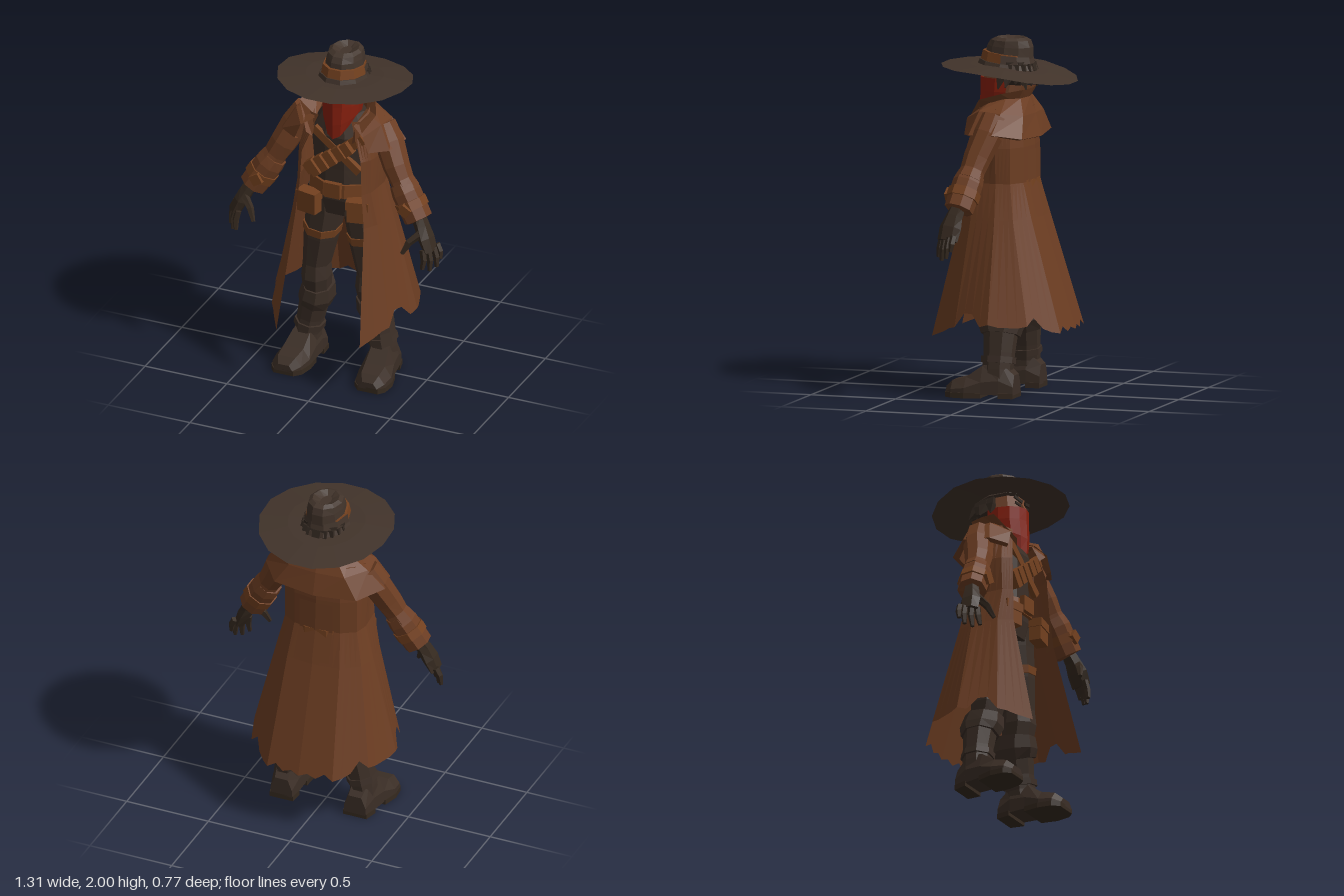
import * as THREE from 'three';

const paint = (name, color) => new THREE.MeshStandardMaterial({ name, color, side: THREE.DoubleSide });

export function createModel() {
  const model = new THREE.Group();
  model.name = 'wanderer';
  const coatBrown = paint('coatBrown', 0x6c3d22);
  const leather = paint('leather', 0x74411f);
  const cloth = paint('darkCloth', 0x3b2e26);
  const hatFelt = paint('hatFelt', 0x41332a);
  const glove = paint('gloveDark', 0x35291f);
  const red = paint('red', 0x861f0e);
  const skin = paint('skin', 0x7a4a30);
  const hair = paint('hair', 0x30261f);

  function add(parent, name, geo, mat) {
    const g = geo.index ? geo.toNonIndexed() : geo;
    g.computeVertexNormals();
    const mesh = new THREE.Mesh(g, mat);
    mesh.name = name;
    parent.add(mesh);
    return mesh;
  }
  // Skin between rings of points; closed rings can be capped with fans
  function loft(rings, closed = true, caps = closed) {
    const n = rings[0].length, pos = rings.flat(2), idx = [];
    for (let r = 0; r < rings.length - 1; r++)
      for (let i = 0; i < (closed ? n : n - 1); i++) {
        const a = r * n + i, b = r * n + (i + 1) % n;
        idx.push(a, a + n, b, b, a + n, b + n);
      }
    if (caps) for (let i = 1; i < n - 1; i++) {
      const e = (rings.length - 1) * n;
      idx.push(0, i, i + 1, e, e + i + 1, e + i);
    }
    const g = new THREE.BufferGeometry();
    g.setAttribute('position', new THREE.Float32BufferAttribute(pos, 3));
    g.setIndex(idx);
    return g;
  }
  // Limb along [x, y, z, radius across, radius deep]
  function limb(path, n = 8) {
    const p = path.map(q => new THREE.Vector3(q[0], q[1], q[2]));
    return loft(path.map((q, k) => {
      const t = p[Math.min(k + 1, p.length - 1)].clone().sub(p[Math.max(k - 1, 0)]).normalize();
      const u = new THREE.Vector3().crossVectors(t, new THREE.Vector3(0, 0, 1)).normalize();
      const v = new THREE.Vector3().crossVectors(u, t);
      return Array.from({ length: n }, (_, i) => {
        const a = (i + 0.5) / n * Math.PI * 2;
        return p[k].clone().addScaledVector(u, Math.cos(a) * q[3]).addScaledVector(v, Math.sin(a) * (q[4] ?? q[3])).toArray();
      });
    }));
  }
  // Level ellipse ring, tilted by slope along z
  const oval = (y, rx, rz, cz = 0, slope = 0, n = 10) => Array.from({ length: n }, (_, i) => {
    const a = (i + 0.5) / n * Math.PI * 2, z = cz + Math.cos(a) * rz;
    return [Math.sin(a) * rx, y + z * slope, z];
  });
  // Full row from its left half, which runs front to back centre
  const sym = half => [...half, ...half.slice(0, -1).reverse().map(([x, y, z]) => [-x, y, z])];
  const box = (parent, name, size, at, mat, rz = 0, ry = 0) => {
    const m = add(parent, name, new THREE.BoxGeometry(...size), mat);
    m.position.set(...at);
    m.rotation.set(0, ry, rz);
    return m;
  };

  // Long coat, open in front, with a torn hem
  const row = (y, ...p) => p.map(([x, z, yy]) => [x, yy ?? y, z]);
  const fine = half => half.flatMap((p, i) => i === half.length - 1 ? [p] :
    [0, 0.25, 0.5, 0.75].map(t => p.map((c, k) => c + (half[i + 1][k] - c) * t)));
  const coatRows = [
    row(1.62, [0.1, 0.14], [0.17, 0.12], [0.24, 0], [0.2, -0.07], [0.12, -0.12], [0, -0.14]),
    row(1.4, [0.18, 0.19], [0.22, 0.14], [0.25, 0], [0.22, -0.08], [0.14, -0.13], [0, -0.15]),
    row(1.2, [0.19, 0.2], [0.225, 0.15], [0.24, 0], [0.22, -0.08], [0.14, -0.13], [0, -0.15]),
    row(1, [0.21, 0.215], [0.26, 0.14], [0.29, -0.01], [0.26, -0.11], [0.16, -0.185], [0, -0.2]),
    row(0.38, [0.255, 0.37, 0.33], [0.36, 0.2, 0.4], [0.435, -0.02, 0.42], [0.36, -0.23, 0.41], [0.2, -0.37, 0.37], [0, -0.39, 0.37]),
  ].map(fine);
  const tears = [0, 0, 0, 0.01, 0, 0.13, 0.12, 0, 0.02, 0, 0, 0, 0.02, 0.11, 0.02, 0, 0, 0.05, 0, 0.03, 0];
  coatRows[4] = coatRows[4].map((p, i) => p.map((c, k) => c + (coatRows[3][i][k] - c) * tears[i]));
  add(model, 'longCoat', loft(coatRows.map(sym), false), coatBrown);
  add(model, 'coatBackPanel', loft([[1.38, -0.156], [1.2, -0.158], [1.02, -0.204]].map(([y, z]) =>
    [[-0.1, y, z + 0.01], [0, y, z], [0.1, y, z + 0.01]]), false), coatBrown);

  // Shoulder cape and flared collar
  add(model, 'shoulderCape', loft([
    [[0.12, 1.6, 0.15], [0.16, 1.65, 0.06], [0.15, 1.67, -0.03], [0.1, 1.67, -0.1], [0, 1.67, -0.12]],
    [[0.19, 1.56, 0.185], [0.26, 1.61, 0.09], [0.27, 1.6, -0.04], [0.17, 1.58, -0.14], [0, 1.58, -0.155]],
    [[0.225, 1.47, 0.19], [0.33, 1.48, 0.13], [0.365, 1.49, -0.02], [0.25, 1.46, -0.16], [0, 1.45, -0.19]],
    [[0.21, 1.46, 0.17], [0.3, 1.47, 0.11], [0.33, 1.48, -0.02], [0.23, 1.45, -0.13], [0, 1.44, -0.16]],
  ].map(sym), false), coatBrown);
  add(model, 'collar', loft([
    [[0.12, 1.5, 0.18], [0.12, 1.6, 0.13], [0.13, 1.64, 0], [0.1, 1.64, -0.08], [0, 1.64, -0.1]],
    [[0.15, 1.53, 0.2], [0.235, 1.67, 0.1], [0.18, 1.7, -0.01], [0.12, 1.72, -0.12], [0, 1.72, -0.14]],
  ].map(sym), false), coatBrown);

  // Torso, belt and crossed straps
  add(model, 'torso', loft([oval(1, 0.17, 0.13), oval(1.1, 0.2, 0.15), oval(1.3, 0.18, 0.14, 0.01),
    oval(1.5, 0.2, 0.145, 0.01), oval(1.63, 0.12, 0.1, 0.01)]), cloth);
  add(model, 'belt', loft([oval(1.13, 0.215, 0.17), oval(1.21, 0.21, 0.165)]), leather);
  box(model, 'buckle', [0.1, 0.09, 0.03], [0, 1.18, 0.172], leather);
  box(model, 'bandolier', [0.44, 0.065, 0.03], [0, 1.395, 0.14], leather, 0.66);
  for (const [i, d] of [-0.15, -0.085, -0.02, 0.05, 0.11].entries())
    box(model, 'bandolierPouch', [0.05, 0.1 - i * 0.006, 0.05],
      [d * Math.cos(0.66), 1.39 + d * Math.sin(0.66), 0.165], leather, 0.66);
  box(model, 'crossStrap', [0.36, 0.045, 0.03], [0.01, 1.42, 0.137], leather, -0.68);

  // Head, eyes, bandana and hair
  add(model, 'head', loft([oval(1.58, 0.07, 0.07, 0.01), oval(1.68, 0.085, 0.09, 0.04),
    oval(1.76, 0.105, 0.115, 0.03), oval(1.87, 0.105, 0.115, 0.025)]), skin);
  add(model, 'nose', limb([[0, 1.82, 0.13, 0.012], [0, 1.77, 0.15, 0.022]], 4), skin);
  const arc = (y, rx, rz, cz, drop = 0) => Array.from({ length: 9 }, (_, i) => {
    const a = (i / 8 - 0.5) * Math.PI * 1.15;
    return [Math.sin(a) * rx, y - drop * Math.max(0, Math.cos(a)) ** 2, cz + Math.cos(a) * rz];
  });
  add(model, 'bandana', loft([arc(1.775, 0.112, 0.155, 0.015), arc(1.7, 0.115, 0.15, 0.02),
    arc(1.63, 0.105, 0.145, 0.03, 0.04), arc(1.61, 0.09, 0.13, 0.04, 0.11)], false), red);
  for (const s of [1, -1]) {
    box(model, 'eye', [0.042, 0.014, 0.008], [s * 0.045, 1.797, 0.141], hair, s * 0.2, s * 0.2);
    box(model, 'eyebrow', [0.065, 0.018, 0.009], [s * 0.045, 1.825, 0.143], hair, s * 0.25, s * 0.2);
  }
  add(model, 'hairCap', loft([oval(1.74, 0.095, 0.09, -0.04), oval(1.79, 0.122, 0.105, -0.035),
    oval(1.87, 0.122, 0.11, -0.025)]), hair);
  for (let i = 0; i < 11; i++) {
    const a = Math.PI * (0.42 + i * 0.116), r = i % 2 ? 1.5 : 1.28;
    const x = Math.sin(a), z = Math.cos(a);
    add(model, 'hairLock', limb([[x * 0.1, 1.85, z * 0.1 - 0.02, 0.035], [x * 0.12, 1.79, z * 0.12 - 0.02, 0.032],
      [x * 0.115 * r, 1.72 + (i % 3) * 0.015, z * 0.11 * r - 0.015, 0.003]], 4), hair);
  }

  // Wide hat
  const brim = (r, y) => oval(y, r, r, 0, 0, 16).map(([x, h, z]) => [x, h + z * (z > 0 ? 0.03 : 0.2), z]);
  add(model, 'hatBrim', loft([brim(0.1, 1.845), brim(0.22, 1.846), brim(0.385, 1.833)], false ,false), hatFelt);
  add(model, 'hatBrimSeam', loft([brim(0.1, 1.845), brim(0.22, 1.846), brim(0.385, 1.833)].map(r => [r[15], r[0]]), false), hatFelt);
  add(model, 'hatBase', loft([oval(1.835, 0.145, 0.17, 0.01, 0.1), oval(1.86, 0.135, 0.16, 0.01, 0.1)]), hatFelt);
  const band = loft([oval(1.85, 0.128, 0.155, 0.012, 0.1), oval(1.912, 0.118, 0.142, 0.01, 0.1)]);
  add(model, 'hatBand', band, leather);
  add(model, 'hatBandBack', loft([1.85, 1.907].map((y, k) => oval(y, 0.133 - k * 0.01, 0.158 - k * 0.013, 0.01, 0.1).slice(2, 8)), false), hatFelt);
  add(model, 'hatCrown', loft([oval(1.88, 0.112, 0.137, 0, 0.1), oval(1.95, 0.104, 0.132, -0.005, 0.03),
    oval(1.985, 0.097, 0.115, -0.008), oval(2, 0.075, 0.085, -0.01), oval(1.978, 0.03, 0.05, -0.01)]), hatFelt);

  // One side of the body, then its mirror
  const side = new THREE.Group();
  side.name = 'leftSide';
  add(side, 'sleeve', limb([[0.23, 1.57, 0.01, 0.08], [0.285, 1.48, 0.03, 0.085], [0.345, 1.36, 0.07, 0.078],
    [0.385, 1.29, 0.085, 0.07], [0.42, 1.24, 0.095, 0.078]]), coatBrown);
  add(side, 'cuff', limb([[0.39, 1.27, 0.09, 0.076], [0.42, 1.225, 0.1, 0.086], [0.505, 1.085, 0.125, 0.083],
    [0.51, 1.078, 0.127, 0.05]]), coatBrown);
  add(side, 'cuffStrap', limb([[0.445, 1.185, 0.108, 0.093], [0.472, 1.14, 0.115, 0.093]]), leather);
  box(side, 'cuffBuckle', [0.06, 0.06, 0.03], [0.455, 1.16, 0.2], leather, -0.55);

  // Gloved hand
  add(side, 'palm', limb([[0.495, 1.12, 0.12, 0.042], [0.535, 1.05, 0.14, 0.042, 0.05],
    [0.565, 0.99, 0.152, 0.042, 0.064], [0.595, 0.92, 0.16, 0.032, 0.06]], 6), glove);
  const fingers = [[0.615, 0.95, 0.115, 0.64, 0.865, 0.125], [0.607, 0.94, 0.145, 0.63, 0.825, 0.155],
    [0.588, 0.935, 0.175, 0.602, 0.81, 0.19], [0.565, 0.935, 0.2, 0.57, 0.825, 0.22]];
  for (const [x, y, z, a, b, c] of fingers)
    add(side, 'finger', limb([[x, y, z, 0.019], [(x + a) / 2 + 0.008, (y + b) / 2, (z + c) / 2, 0.019], [a, b, c, 0.012]], 5), glove);
  add(side, 'thumb', limb([[0.545, 1.03, 0.17, 0.026], [0.485, 0.975, 0.215, 0.022], [0.455, 0.91, 0.24, 0.012]], 5), glove);

  // Trouser leg, hip pouch and thigh strap
  add(side, 'trouserLeg', limb([[0.105, 1.12, 0, 0.105, 0.14], [0.115, 0.98, 0, 0.11, 0.13], [0.14, 0.8, 0.01, 0.098, 0.115],
    [0.165, 0.62, 0.015, 0.078, 0.095], [0.165, 0.54, 0.02, 0.085, 0.1], [0.17, 0.42, 0, 0.075, 0.09]]), cloth);
  add(side, 'thighStrap', limb([[0.131, 0.87, 0.008, 0.109, 0.128], [0.137, 0.825, 0.008, 0.106, 0.124]]), leather);
  box(side, 'hipPouch', [0.12, 0.12, 0.07], [0.15, 1.07, 0.155], leather, 0, 0.2);
  box(side, 'pouchFlap', [0.13, 0.05, 0.08], [0.15, 1.115, 0.157], leather, 0, 0.2);

  // Boot with turned-down top, ankle strap, foot and heel
  add(side, 'bootTop', limb([[0.163, 0.475, -0.005, 0.088, 0.12], [0.175, 0.4, -0.015, 0.1, 0.135],
    [0.195, 0.345, -0.015, 0.092, 0.115]]), cloth);
  add(side, 'bootShaft', limb([[0.19, 0.37, -0.015, 0.085, 0.1], [0.215, 0.25, -0.015, 0.077, 0.09],
    [0.23, 0.16, -0.01, 0.075, 0.088], [0.235, 0.06, -0.01, 0.08, 0.1]]), cloth);
  add(side, 'ankleStrap', limb([[0.218, 0.225, -0.012, 0.088, 0.1], [0.225, 0.19, -0.012, 0.088, 0.1]]), cloth);
  const foot = [[-0.12, 0.065, 0.13, 0.225], [-0.04, 0.078, 0.2, 0.232], [0.06, 0.086, 0.18, 0.24],
    [0.15, 0.1, 0.115, 0.25], [0.23, 0.088, 0.095, 0.255], [0.27, 0.055, 0.06, 0.258]];
  add(side, 'foot', loft(foot.map(([z, w, h, x]) => [[x - w, 0.02, z], [x - w, h * 0.5, z], [x - w * 0.6, h, z],
    [x + w * 0.6, h, z], [x + w, h * 0.5, z], [x + w, 0.02, z]])), cloth);
  const sole = (part, name) => add(side, name, loft(part.map(([z, w, , x]) => {
    const v = w + 0.006;
    return [[x - v, 0, z], [x - v, 0.03, z], [x + v, 0.03, z], [x + v, 0, z]];
  })), glove);
  sole(foot.slice(0, 2), 'heel');
  sole(foot.slice(2), 'sole');

  const other = side.clone();
  other.name = 'rightSide';
  other.scale.x = -1;
  model.add(side, other);
  return model;
}
